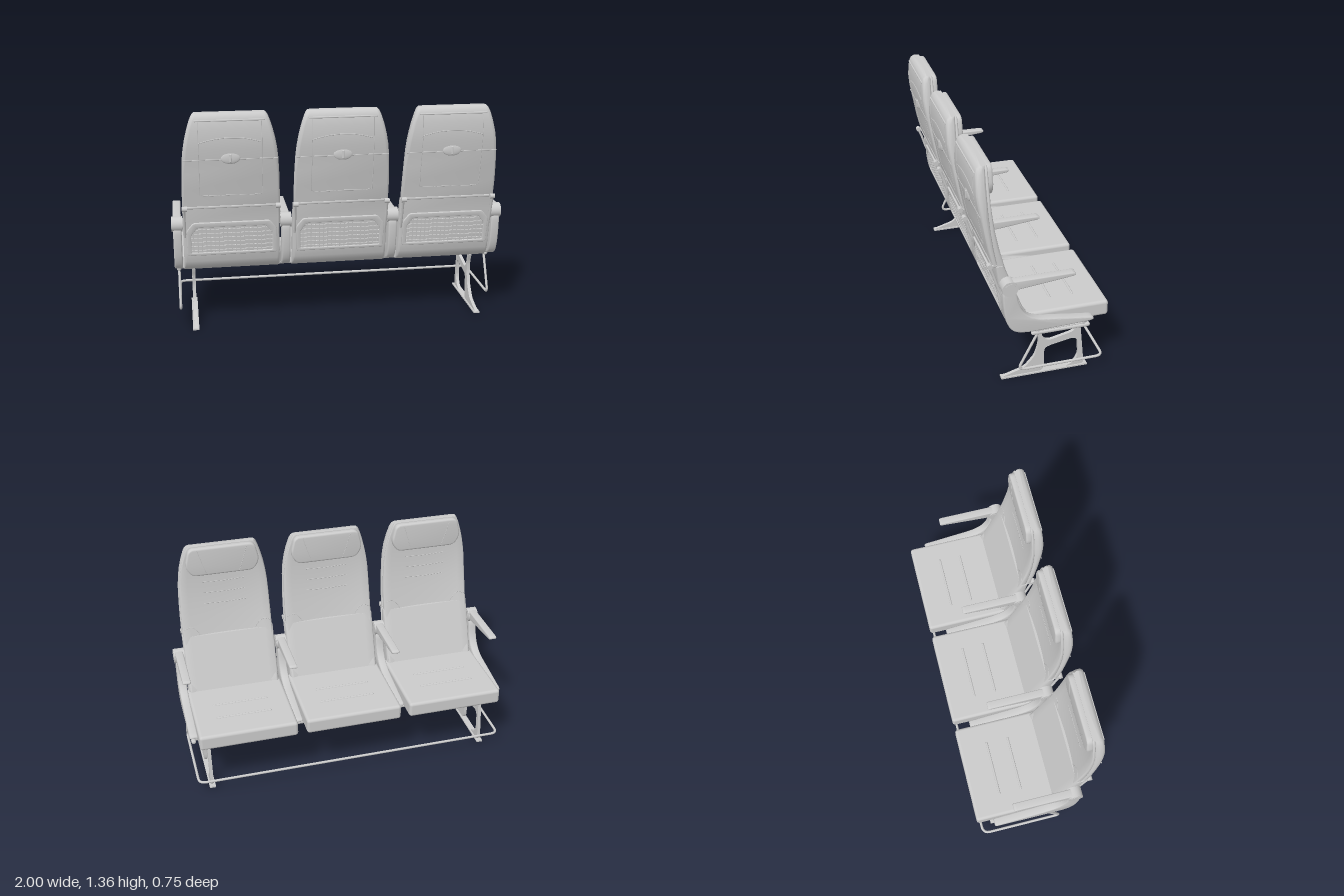
import * as THREE from 'three';
import { mergeGeometries, toCreasedNormals } from 'three/addons/utils/BufferGeometryUtils.js';
import { RoundedBoxGeometry } from 'three/addons/geometries/RoundedBoxGeometry.js';

const material = new THREE.MeshStandardMaterial({ color: 0xcccccc });
const V3 = (x, y, z) => new THREE.Vector3(x, y, z);

function add(parent, name, geometry, x = 0, y = 0, z = 0) {
  const mesh = new THREE.Mesh(geometry, material);
  mesh.name = name;
  mesh.position.set(x, y, z);
  parent.add(mesh);
  return mesh;
}

// Backrest profile by height: y, half width, cushion front, shell split, shell rear, dish depth
const PROFILE = [
  [0.42, 0.285, 0.095, 0.17, 0.20, 0.03], [0.47, 0.285, 0.105, 0.19, 0.22, 0.04],
  [0.52, 0.285, 0.135, 0.205, 0.23, 0.04], [0.60, 0.285, 0.168, 0.225, 0.25, 0.035],
  [0.70, 0.285, 0.205, 0.25, 0.27, 0.025], [0.79, 0.284, 0.232, 0.272, 0.298, 0.02],
  [0.90, 0.283, 0.26, 0.292, 0.325, 0.015], [1.00, 0.28, 0.281, 0.305, 0.343, 0.012],
  [1.09, 0.275, 0.294, 0.312, 0.36, 0.008], [1.15, 0.268, 0.30, 0.315, 0.37, 0.005],
  [1.21, 0.257, 0.303, 0.317, 0.376, 0.004], [1.27, 0.242, 0.304, 0.317, 0.375, 0.003],
  [1.32, 0.226, 0.304, 0.316, 0.371, 0.002], [1.345, 0.215, 0.304, 0.315, 0.363, 0.002],
  [1.357, 0.205, 0.306, 0.314, 0.348, 0.001],
];
function profileAt(y) {
  const i = Math.max(1, PROFILE.findIndex((row) => row[0] >= y));
  const a = PROFILE[i - 1], b = PROFILE[i], t = (y - a[0]) / (b[0] - a[0]);
  return a.map((v, k) => v + (b[k] - v) * t);
}

// Horizontal rounded-rectangle section with a dished -z side
function section(y, h, zf, zr, radius, dish = 0) {
  const r = Math.min(radius, (zr - zf) * 0.45), pts = [];
  [[1, 1], [-1, 1], [-1, -1], [1, -1]].forEach(([sx, sz], k) => {
    for (let i = 0; i <= 5; i++) {
      const a = (k + i / 5) * Math.PI / 2;
      pts.push([sx * (h - r) + r * Math.cos(a), (sz > 0 ? zr - r : zf + r) + r * Math.sin(a)]);
    }
    if (k === 2) for (let i = 1; i < 14; i++) pts.push([(h - r) * (i / 7 - 1), zf]);
  });
  return pts.map(([x, z]) => V3(x, y, z < (zf + zr) / 2 ? z + dish * (1 - (x / h) ** 2) : z));
}

// Closed skin over a stack of sections
function loft(rings) {
  const n = rings[0].length, pos = [], idx = [];
  rings.forEach((ring) => ring.forEach((p) => pos.push(p.x, p.y, p.z)));
  for (let i = 0; i < rings.length - 1; i++) for (let j = 0; j < n; j++) {
    const k = (j + 1) % n, a = i * n + j, b = i * n + k;
    idx.push(a, a + n, b, b, a + n, b + n);
  }
  [0, rings.length - 1].forEach((i) => {
    const c = pos.length / 3;
    const mid = rings[i].reduce((s, p) => s.add(p), V3(0, 0, 0)).divideScalar(n);
    pos.push(mid.x, mid.y, mid.z);
    for (let j = 0; j < n; j++) {
      const a = i * n + j, b = i * n + (j + 1) % n;
      idx.push(c, i ? b : a, i ? a : b);
    }
  });
  const g = new THREE.BufferGeometry();
  g.setAttribute('position', new THREE.Float32BufferAttribute(pos, 3));
  g.setIndex(idx);
  return toCreasedNormals(g, 0.7);
}

// Polygon with softened corners
function softShape(points, r, Type = THREE.Shape) {
  const p = points.map(([x, y]) => new THREE.Vector2(x, y)), n = p.length, s = new Type();
  const toward = (a, b) => a.clone().lerp(b, Math.min(0.5, r / a.distanceTo(b)));
  p.forEach((c, i) => {
    const a = toward(c, p[(i + n - 1) % n]), b = toward(c, p[(i + 1) % n]);
    if (i) s.lineTo(a.x, a.y); else s.moveTo(a.x, a.y);
    s.quadraticCurveTo(c.x, c.y, b.x, b.y);
  });
  s.closePath();
  return s;
}
function extrude(shape, depth, bevel = 0) {
  const g = new THREE.ExtrudeGeometry(shape, {
    depth: depth - 2 * bevel, curveSegments: 6, bevelEnabled: bevel > 0,
    bevelSize: bevel, bevelThickness: bevel, bevelOffset: -bevel, bevelSegments: 3,
  });
  return toCreasedNormals(g.translate(0, 0, bevel - depth / 2), 0.6);
}
// Side outline given as (z, y), extruded across x
const sidePlate = (pts, r, width, bevel) => extrude(softShape(pts, r), width, bevel).rotateY(-Math.PI / 2);
const axle = (r, len) => new THREE.CylinderGeometry(r, r, len, 28).rotateZ(Math.PI / 2);

// Tube through points with rounded bends
function bentTube(points, r, bend, segments = 120) {
  const path = new THREE.CurvePath();
  let from = points[0];
  for (let i = 1; i < points.length - 1; i++) {
    const c = points[i];
    const toward = (q) => c.clone().lerp(q, Math.min(0.49, bend / c.distanceTo(q)));
    const a = toward(points[i - 1]), b = toward(points[i + 1]);
    path.add(new THREE.LineCurve3(from, a));
    path.add(new THREE.QuadraticBezierCurve3(a, c, b));
    from = b;
  }
  path.add(new THREE.LineCurve3(from, points[points.length - 1]));
  return new THREE.TubeGeometry(path, segments, r, 10);
}

// Fine seam lying on the front or rear of the backrest
function seam(points, rear, r = 0.0022) {
  const pts = new THREE.SplineCurve(points.map(([x, y]) => new THREE.Vector2(x, y))).getPoints(40);
  const curve = new THREE.CatmullRomCurve3(pts.map(({ x, y }) => {
    const [, h, zf, , zr, dish] = profileAt(y);
    return V3(x, y, rear ? zr : zf + dish * (1 - (x / h) ** 2));
  }));
  return new THREE.TubeGeometry(curve, 48, r, 5);
}

function createSeat() {
  const seat = new THREE.Group();
  seat.name = 'seat';

  // Backrest shell, cushion and lower rear panel
  add(seat, 'backShell', loft(PROFILE.slice(5).map(([y, h, , zs, zr]) => section(y, h, zs, zr, 0.022))));
  add(seat, 'backCushion', loft(PROFILE.map(([y, h, zf, zs, , d]) => section(y, h - 0.005, zf, zs + 0.004, 0.014, d))));
  const lower = [[0.366, 0.13], [0.372, 0.165], [0.385, 0.19], [0.405, 0.212], [0.44, 0.23], [0.5, 0.24], [0.7, 0.27], [0.785, 0.284]];
  add(seat, 'lowerBackPanel', loft(lower.map(([y, zr]) => section(y, 0.285, Math.min(zr - 0.03, 0.09 + Math.max(0, y - 0.4) * 0.38), zr, 0.015))));
  add(seat, 'panelTrim', new RoundedBoxGeometry(0.568, 0.016, 0.03, 2, 0.006), 0, 0.793, 0.288);

  // Headrest
  const head = softShape([[-0.19, 1.175], [0.19, 1.175], [0.227, 1.24], [0.2, 1.354], [-0.2, 1.354], [-0.227, 1.24]], 0.035);
  add(seat, 'headrest', extrude(head, 0.042, 0.01), 0, 0, 0.296);
  for (const s of [-1, 1]) {
    add(seat, 'headrestSeam', bentTube([V3(s * 0.15, 1.345, 0.275), V3(s * 0.125, 1.26, 0.275), V3(s * 0.1, 1.185, 0.275)], 0.0015, 0.02, 16));
    add(seat, 'bolsterSeam', seam([[s * 0.15, 0.5], [s * 0.145, 0.65], [s * 0.17, 0.78], [s * 0.22, 0.84], [s * 0.272, 0.83]], false));
    // Hinge knobs and their links
    add(seat, 'hingeKnob', axle(0.015, 0.03), s * 0.272, 0.792, 0.315);
    add(seat, 'hingeLink', bentTube([V3(s * 0.275, 0.79, 0.317), V3(s * 0.275, 0.745, 0.297), V3(s * 0.275, 0.66, 0.272), V3(s * 0.275, 0.6, 0.25)], 0.008, 0.03, 24));
  }
  for (const y of [0.98, 1.05, 1.12]) add(seat, 'backSeam', seam([[-0.13, y], [0, y - 0.005], [0.13, y]], false));

  // Table outline, upper pocket lines and latch on the rear
  const w = 0.18;
  add(seat, 'tableOutline', seam([[-w, 1.31], [-w, 1.1], [-w, 0.9], [-w + 0.02, 0.868], [0, 0.868], [w - 0.02, 0.868], [w, 0.9], [w, 1.1], [w, 1.31]], true));
  add(seat, 'pocketArc', seam([[-w, 1.19], [-0.09, 1.212], [0, 1.218], [0.09, 1.212], [w, 1.19]], true, 0.003));
  add(seat, 'shellJoint', seam([[-0.27, 1.09], [0, 1.09], [0.27, 1.09]], true, 0.003));
  add(seat, 'tableTopLip', new RoundedBoxGeometry(0.4, 0.01, 0.012, 2, 0.004), 0, 1.318, 0.37);
  const latch = add(seat, 'tableLatch', new THREE.SphereGeometry(1, 28, 14), 0, 1.097, 0.361);
  latch.scale.set(0.056, 0.034, 0.009);
  add(seat, 'latchHandle', new RoundedBoxGeometry(0.014, 0.05, 0.012, 2, 0.005), 0, 1.097, 0.368);

  // Literature pocket: frame and woven net
  const pocket = new THREE.Group();
  pocket.name = 'netPocket';
  pocket.position.set(0, 0.585, 0.256);
  pocket.rotation.x = 0.149;
  const outline = (x, y0, y1) => [[-x, y0], [x, y0], [x, y1 - 0.05], [x - 0.04, y1], [-x + 0.04, y1], [-x, y1 - 0.05]];
  const frame = softShape(outline(0.265, -0.105, 0.108), 0.015);
  frame.holes.push(softShape(outline(0.24, -0.088, 0.078), 0.01, THREE.Path));
  add(pocket, 'pocketFrame', extrude(frame, 0.014, 0.003));
  const bars = [];
  for (let i = -9; i <= 9; i++) bars.push(new THREE.BoxGeometry(0.006, Math.abs(i) > 8 ? 0.13 : 0.165, 0.006).translate(i * 0.025, Math.abs(i) > 8 ? -0.02 : -0.005, 0));
  for (let i = 0; i < 6; i++) bars.push(new THREE.BoxGeometry(i > 4 ? 0.44 : 0.478, 0.006, 0.008).translate(0, -0.075 + i * 0.027, 0));
  add(pocket, 'pocketNet', mergeGeometries(bars));
  seat.add(pocket);

  // Seat cushion with two raised ribs
  add(seat, 'seatCushion', new RoundedBoxGeometry(0.594, 0.095, 0.54, 4, 0.018), 0, 0.4125, -0.105);
  for (const z of [-0.2, -0.065]) add(seat, 'cushionRib', new THREE.CapsuleGeometry(0.007, 0.33, 4, 10).rotateZ(Math.PI / 2), 0, 0.459, z);
  return seat;
}

function createArm() {
  const arm = new THREE.Group();
  arm.name = 'armAssembly';
  const outline = [[0.258, 0.67], [0.256, 0.56], [0.238, 0.45], [0.2, 0.385], [0.12, 0.368], [-0.1, 0.374], [-0.272, 0.378],
    [-0.272, 0.404], [-0.2, 0.412], [-0.05, 0.435], [0.06, 0.45], [0.125, 0.485], [0.165, 0.55], [0.185, 0.66]];
  add(arm, 'sidePanel', sidePlate(outline, 0.05, 0.05, 0.008));
  add(arm, 'armPivot', axle(0.045, 0.064), 0, 0.675, 0.22);
  add(arm, 'pivotCap', axle(0.033, 0.068), 0, 0.675, 0.22);
  add(arm, 'armrest', sidePlate([[0.22, 0.715], [-0.145, 0.716], [-0.158, 0.705], [-0.145, 0.694], [0.05, 0.673], [0.22, 0.655]], 0.012, 0.048, 0.006));
  return arm;
}

function createLeg() {
  const leg = new THREE.Group();
  leg.name = 'leg';
  const outline = [[0.05, 0.335], [0.022, 0.27], [0.018, 0.2], [0.04, 0.12], [0.1, 0.05], [0.24, 0.008], [-0.005, 0.008], [-0.017, 0.04],
    [-0.017, 0.165], [-0.05, 0.178], [-0.19, 0.205], [-0.217, 0.19], [-0.226, 0.08], [-0.2, 0.03], [-0.14, 0.008], [-0.262, 0.008],
    [-0.25, 0.12], [-0.227, 0.335], [-0.2, 0.335], [-0.203, 0.262], [-0.18, 0.246], [-0.04, 0.214], [-0.008, 0.235], [0.02, 0.335]];
  add(leg, 'legFrame', sidePlate(outline, 0.025, 0.02));
  add(leg, 'footPlate', new THREE.BoxGeometry(0.038, 0.009, 0.52), 0, 0.0045, -0.02);
  return leg;
}

export function createModel() {
  const model = new THREE.Group();
  model.name = 'threeSeatRow';
  for (const i of [-1, 0, 1]) {
    const seat = createSeat();
    seat.position.x = i * 0.648;
    model.add(seat);
  }
  for (const x of [-0.967, -0.324, 0.324, 0.967]) {
    const arm = createArm();
    arm.position.x = x;
    model.add(arm);
    add(model, 'crossTube', new THREE.CylinderGeometry(0.009, 0.009, 0.3, 12).rotateX(Math.PI / 2), x, 0.358, -0.08);
  }
  for (const s of [-1, 1]) {
    const leg = createLeg();
    leg.position.x = s * 0.88;
    model.add(leg);
    // End brackets carrying the side panels
    add(model, 'endBracket', new RoundedBoxGeometry(0.028, 0.024, 0.345, 3, 0.011), s * 0.968, 0.345, -0.083);
    for (const z of [0.05, -0.215]) add(model, 'bracketPost', new THREE.CylinderGeometry(0.011, 0.011, 0.04, 12), s * 0.968, 0.36, z);
  }
  // Long beams under the cushions
  for (const z of [0.05, -0.215]) add(model, 'beam', axle(0.013, 1.95), 0, 0.347, z);

  // Foot bar sweeping around the row
  const half = [V3(0.967, 0.34, 0.05), V3(0.967, 0.105, 0.165), V3(0.967, 0.105, -0.345)];
  const mirrored = half.map((p) => V3(-p.x, p.y, p.z)).reverse();
  add(model, 'footBar', bentTube([...half, ...mirrored], 0.008, 0.045, 260));
  return model;
}
